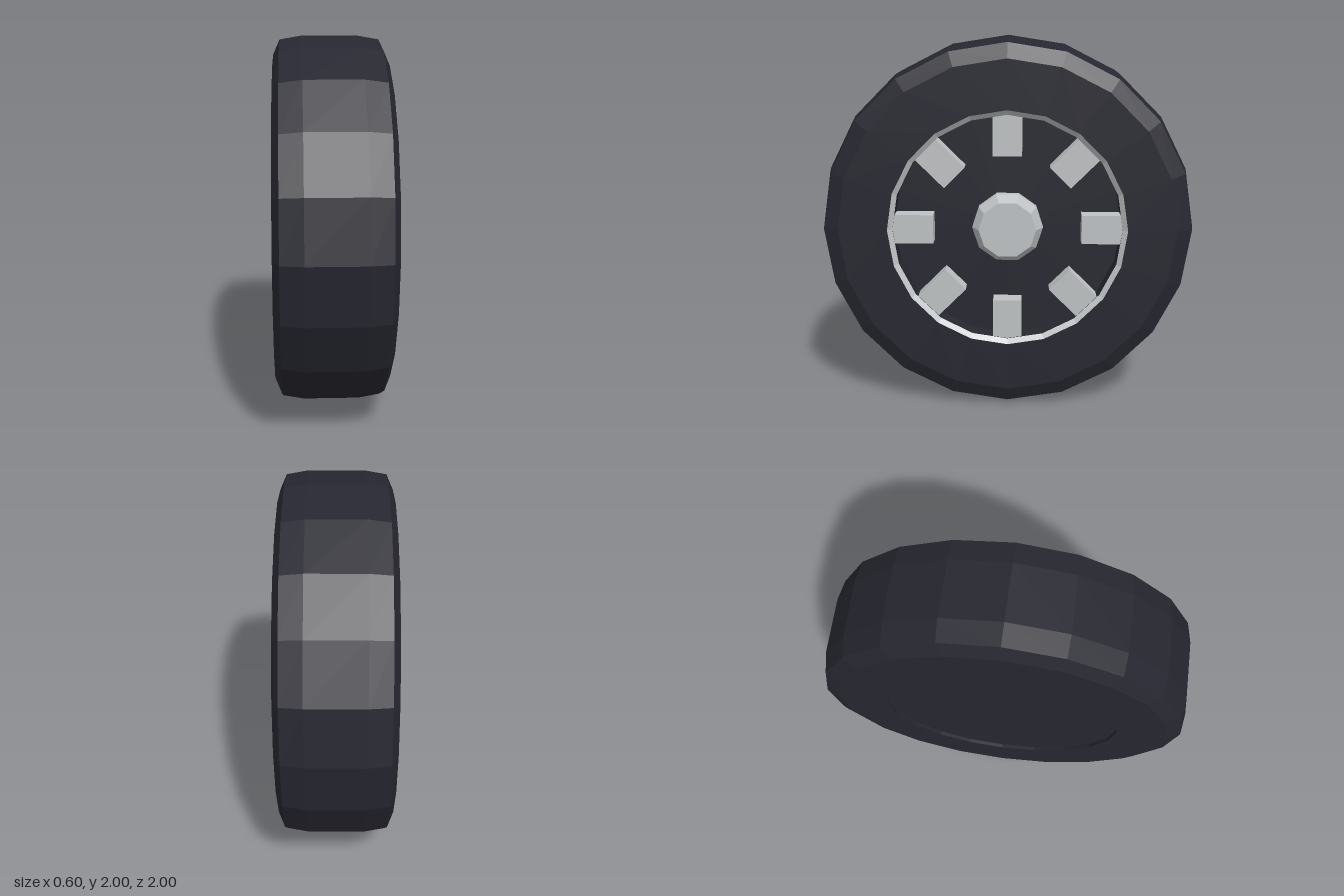
import * as THREE from 'three';

const rubber = new THREE.MeshStandardMaterial({ color: 0x272731 });
rubber.name = 'darkRubber';
const metal = new THREE.MeshStandardMaterial({ color: 0xbfc2c4 });
metal.name = 'lightMetal';

// Faceted solid of revolution around the x axle; profile points are [radius, x]
function turned(name, profile, sides, material) {
  const points = profile.map(([r, x]) => new THREE.Vector2(r, x));
  const geometry = new THREE.LatheGeometry(points, sides).rotateZ(-Math.PI / 2).toNonIndexed();
  geometry.computeVertexNormals();
  const mesh = new THREE.Mesh(geometry, material);
  mesh.name = name;
  return mesh;
}

export function createModel() {
  const wheel = new THREE.Group();
  wheel.name = 'wheel';
  const axle = new THREE.Group();
  axle.name = 'axle';
  axle.position.y = 1;
  wheel.add(axle);

  // Tyre with bevelled shoulders and a shallow recess on the inner side
  axle.add(turned('tyre', [
    [0, -0.28], [0.635, -0.28], [0.635, -0.3], [0.9, -0.3], [0.98, -0.265], [1, -0.15],
    [1, 0.15], [0.98, 0.265], [0.9, 0.3], [0.638, 0.3],
  ], 20, rubber));

  // Sloping metal rim edge, then the dark dish behind it
  axle.add(turned('rimRing', [[0.638, 0.3], [0.612, 0.28]], 20, metal));
  axle.add(turned('dish', [[0.612, 0.28], [0.612, 0.18], [0, 0.18]], 20, rubber));

  // Bevelled ten-sided hub cap
  axle.add(turned('hubCap', [[0.19, 0.17], [0.19, 0.225], [0.153, 0.285], [0, 0.285]], 10, metal));

  // Eight short spokes reaching inward from the rim
  const spokeGeometry = new THREE.BoxGeometry(0.105, 0.235, 0.155).translate(0.2225, 0.5125, 0);
  for (let i = 0; i < 8; i++) {
    const spoke = new THREE.Mesh(spokeGeometry, metal);
    spoke.name = 'spoke' + (i + 1);
    spoke.rotation.x = (i * Math.PI) / 4;
    axle.add(spoke);
  }
  return wheel;
}
